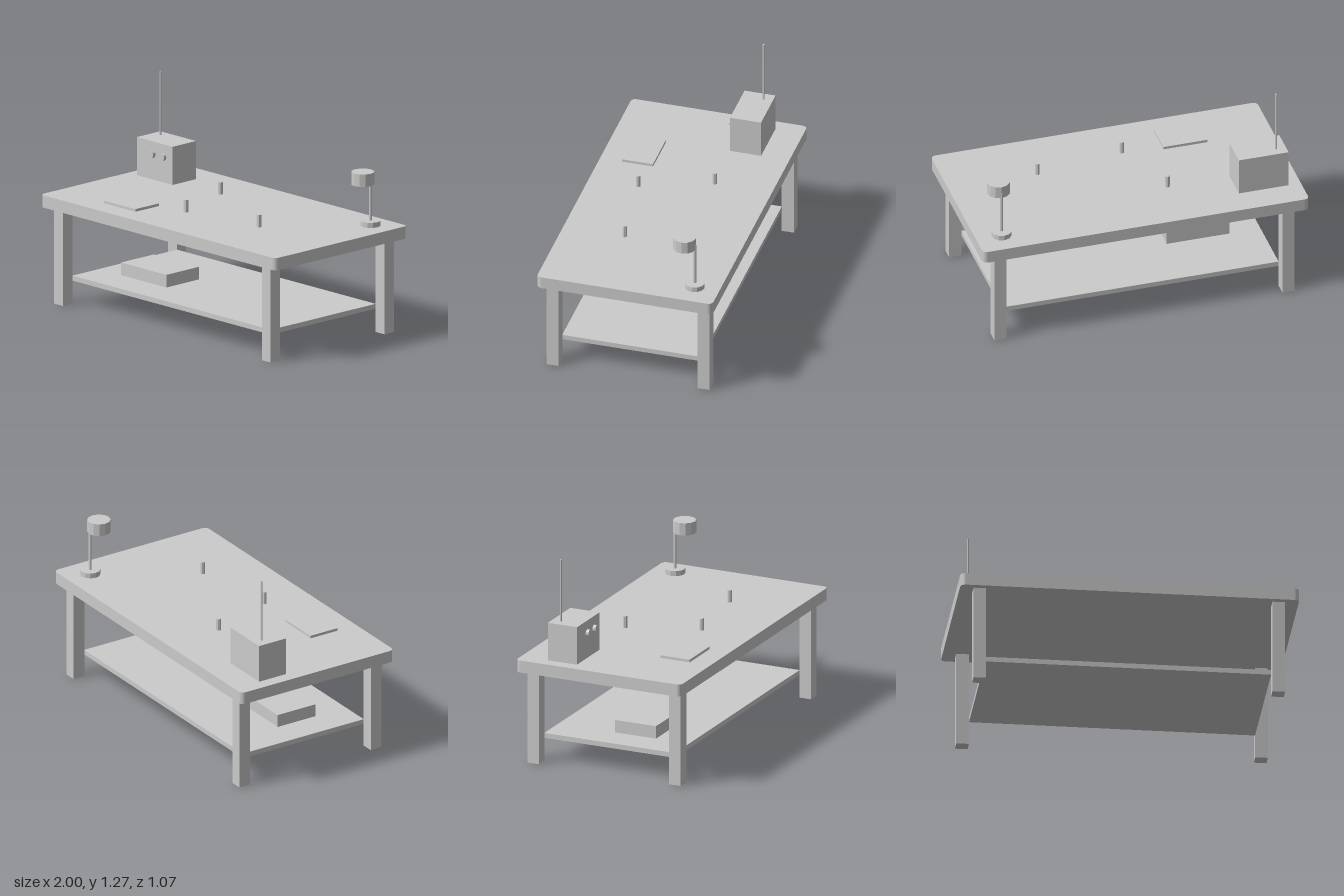
import * as THREE from 'three';

const material = new THREE.MeshStandardMaterial({ color: 0xcccccc, flatShading: true });

export function createModel() {
  const group = new THREE.Group();
  group.name = 'workTable';

  const add = (name, geometry, x, y, z, parent = group) => {
    const mesh = new THREE.Mesh(geometry, material);
    mesh.name = name;
    mesh.position.set(x, y, z);
    parent.add(mesh);
    return mesh;
  };
  // Box and upright cylinder, both placed by the centre of their underside
  const box = (name, w, h, d, x, y, z, parent) =>
    add(name, new THREE.BoxGeometry(w, h, d), x, y + h / 2, z, parent);
  const rod = (name, r, h, sides, x, y, z, parent) =>
    add(name, new THREE.CylinderGeometry(r, r, h, sides), x, y + h / 2, z, parent);
  const subgroup = (name) => {
    const g = new THREE.Group();
    g.name = name;
    group.add(g);
    return g;
  };

  // Tabletop: rounded rectangle extruded upwards
  const W = 1, D = 0.537, R = 0.03;
  const outline = new THREE.Shape();
  outline.absarc(W - R, D - R, R, 0, Math.PI / 2);
  outline.absarc(-W + R, D - R, R, Math.PI / 2, Math.PI);
  outline.absarc(-W + R, -D + R, R, Math.PI, Math.PI * 1.5);
  outline.absarc(W - R, -D + R, R, Math.PI * 1.5, Math.PI * 2);
  const top = new THREE.ExtrudeGeometry(outline, { depth: 0.075, bevelEnabled: false, curveSegments: 4 });
  top.rotateX(-Math.PI / 2);
  add('tabletop', top, 0, 0.58, 0);
  const topY = 0.655;

  // Legs and lower shelf
  for (const sx of [-1, 1])
    for (const sz of [-1, 1])
      box('leg', 0.075, 0.58, 0.075, sx * 0.883, 0, sz * 0.462);
  box('lowerShelf', 1.69, 0.03, 0.85, 0, 0.141, 0);
  box('shelfBox', 0.385, 0.077, 0.266, -0.462, 0.171, 0.078);

  // Radio with two knobs and an antenna
  const radio = subgroup('radio');
  box('radioBody', 0.305, 0.232, 0.19, -0.772, topY, -0.269, radio);
  for (const x of [-0.787, -0.695]) {
    const knob = add('knob', new THREE.CylinderGeometry(0.022, 0.022, 0.02, 12), x, 0.811, -0.165, radio);
    knob.rotation.x = Math.PI / 2;
  }
  rod('antenna', 0.006, 0.385, 8, -0.865, 0.886, -0.308, radio);

  // Book
  box('book', 0.268, 0.016, 0.19, -0.465, topY, 0.308);

  // Small pegs, just clear of the tabletop
  for (const [x, z] of [[-0.233, -0.193], [-0.08, 0.231], [0.46, 0.154]])
    rod('peg', 0.014, 0.074, 8, x, 0.672, z);

  // Desk lamp, its head set forward of the stem
  const lamp = subgroup('lamp');
  rod('lampBase', 0.06, 0.031, 12, 0.843, topY, -0.385, lamp);
  rod('lampStem', 0.0095, 0.265, 8, 0.843, 0.685, -0.385, lamp);
  rod('lampHead', 0.069, 0.076, 12, 0.843, 0.918, -0.323, lamp);

  return group;
}
